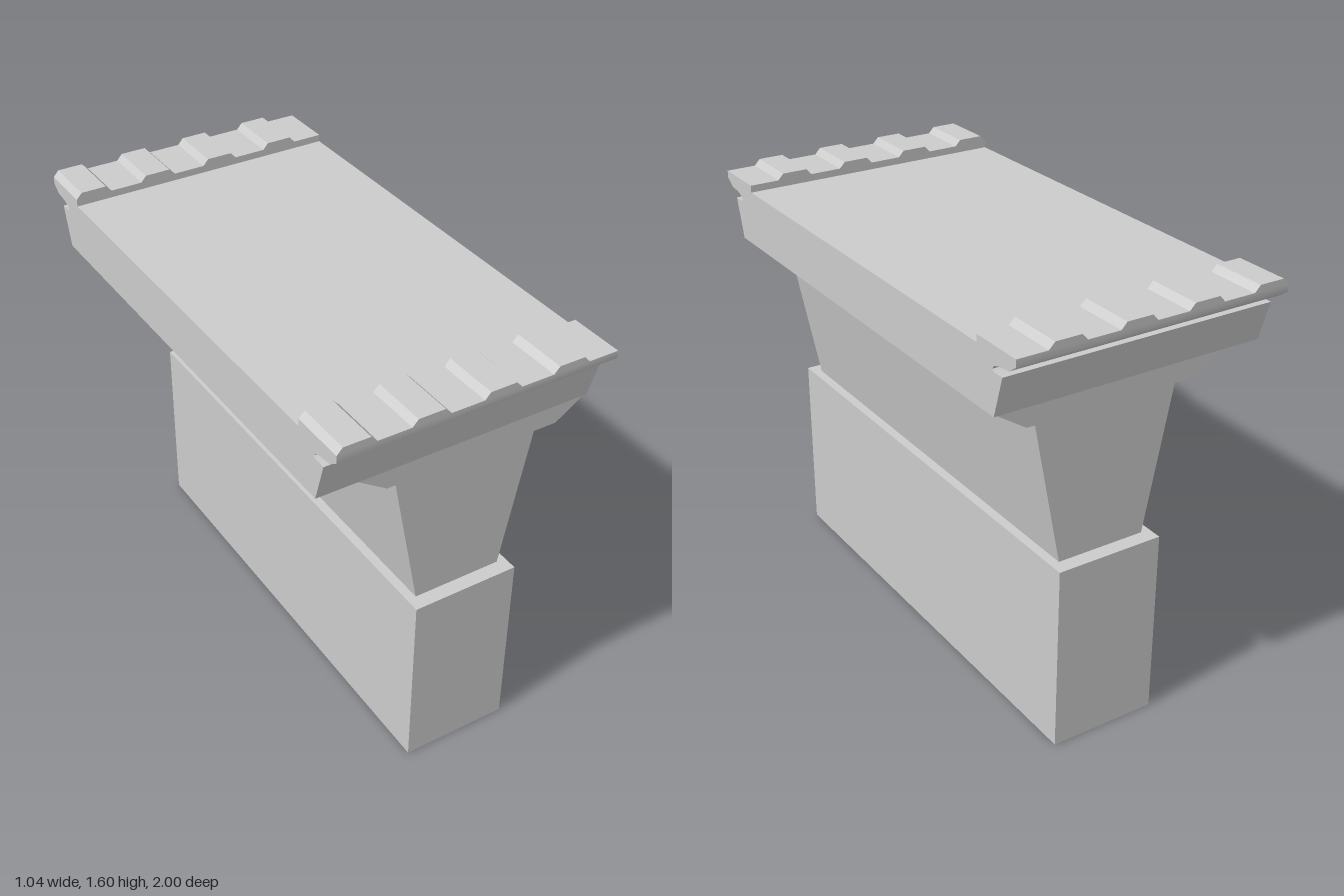
import * as THREE from 'three';
import { toCreasedNormals } from 'three/addons/utils/BufferGeometryUtils.js';

const material = new THREE.MeshStandardMaterial({ color: 0xcccccc, side: THREE.DoubleSide });

function addPart(parent, name, geometry) {
  const mesh = new THREE.Mesh(geometry, material);
  mesh.name = name;
  parent.add(mesh);
  return mesh;
}

// Extrudes an outline of [x, y] points along z, centred on z = 0
function extrude(points, depth) {
  const shape = new THREE.Shape(points.map(([x, y]) => new THREE.Vector2(x, y)));
  return new THREE.ExtrudeGeometry(shape, { depth, bevelEnabled: false }).translate(0, 0, -depth / 2);
}

export function createModel() {
  const group = new THREE.Group();
  const centre = 0.07; // the pier stands off-centre under the deck

  // Hollow base: a box without its bottom face
  const base = new THREE.BoxGeometry(0.41, 0.71, 1.81);
  const index = Array.from(base.index.array);
  index.splice(18, 6);
  base.setIndex(index);
  base.clearGroups();
  addPart(group, 'base', base).position.set(centre, 0.355, 0);

  // Flared prisms: half width at the bottom and at the top
  const flare = (name, bottom, top, y0, y1, depth) => addPart(group, name, extrude([
    [centre - bottom, y0], [centre + bottom, y0], [centre + top, y1], [centre - top, y1],
  ], depth));
  flare('neck', 0.17, 0.28, 0.71, 1.27, 1.7);
  flare('haunch', 0.33, 0.437, 1.27, 1.34, 1.77);

  // Deck cross-section in z and y, with a grooved, curling lip at each end
  const half = [
    [0.885, 1.34], [0.93, 1.49], [0.885, 1.49], [0.875, 1.497], [0.885, 1.51],
    [0.91, 1.518], [0.965, 1.525], [1, 1.55], [1, 1.577], [0.79, 1.577], [0.79, 1.55],
  ];
  const mirrored = half.map(([z, y]) => [-z, y]).reverse();
  const deck = extrude([...half, ...mirrored], 1.04).rotateY(-Math.PI / 2);
  addPart(group, 'deck', toCreasedNormals(deck, 1));

  // Rows of raised ridges on both lips
  for (const side of [1, -1]) {
    const row = new THREE.Group();
    row.name = side > 0 ? 'frontRidges' : 'backRidges';
    for (let i = 0; i < 4; i++) {
      const x = -0.52 + i * 0.262;
      const ridge = extrude([
        [x, 1.577], [x + 0.14, 1.577], [x + 0.118, 1.6], [x + 0.021, 1.6],
      ], 0.21);
      addPart(row, 'ridge', ridge);
    }
    row.position.z = side * 0.895;
    group.add(row);
  }
  return group;
}
